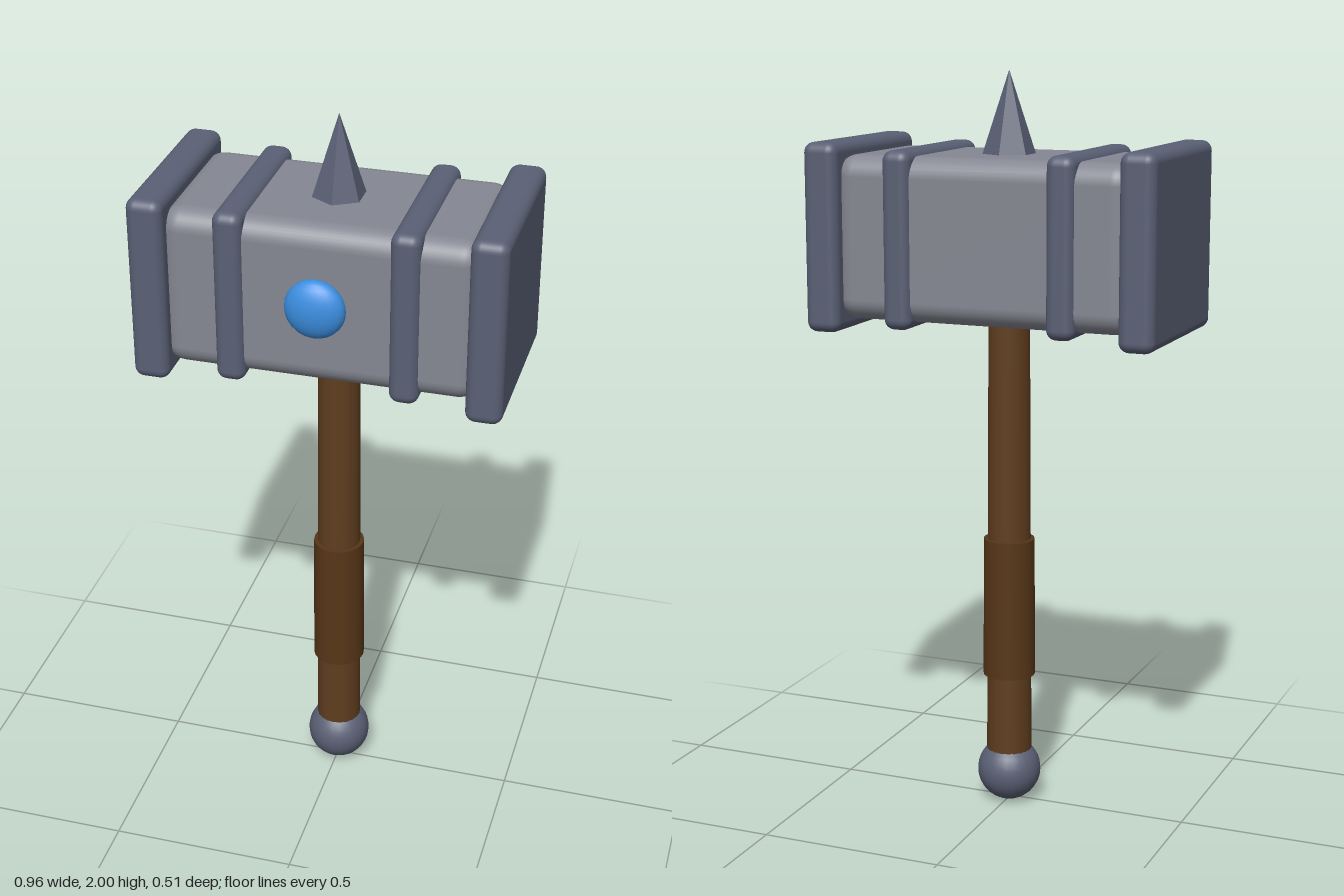
import * as THREE from 'three';
import { RoundedBoxGeometry } from 'three/addons/geometries/RoundedBoxGeometry.js';

const material = (name, color, flatShading = false) => {
  const m = new THREE.MeshStandardMaterial({ color, flatShading });
  m.name = name;
  return m;
};

export function createModel() {
  const stone = material('greyStone', 0x858892);
  const steel = material('darkSteel', 0x5a6075);
  const wood = material('brownWood', 0x5f3d1f);
  const leather = material('brownLeather', 0x573618);
  const blue = material('blueGem', 0x3b8ee0);

  const group = new THREE.Group();
  group.name = 'warHammer';
  const axisZ = -0.01;
  const headY = 1.57;

  const add = (name, geometry, mat, x, y, z = axisZ) => {
    const mesh = new THREE.Mesh(geometry, mat);
    mesh.name = name;
    mesh.position.set(x, y, z);
    group.add(mesh);
    return mesh;
  };

  // Hammer head with rounded edges
  add('headBlock', new RoundedBoxGeometry(0.82, 0.43, 0.43, 4, 0.055), stone, 0, headY);

  // Mirrored striking plates and straps around the head
  for (const [side, s] of [['left', 1], ['right', -1]]) {
    add(side + 'StrikingPlate', new RoundedBoxGeometry(0.095, 0.495, 0.495, 4, 0.027), steel, s * 0.4325, headY);
    add(side + 'Strap', new RoundedBoxGeometry(0.077, 0.463, 0.463, 4, 0.027), steel, s * 0.225, headY);
  }

  // Six-sided spike on top
  const spikeSteel = steel.clone();
  spikeSteel.flatShading = true;
  spikeSteel.name = 'facetedSteel';
  add('topSpike', new THREE.ConeGeometry(0.075, 0.23, 6), spikeSteel, 0, 1.885);

  // Domed gem set into the front face
  add('frontGem', new THREE.SphereGeometry(0.079, 20, 14), blue, 0, 1.575, 0.212).scale.z = 0.52;

  // Tapered shaft, grip wrap and pommel
  add('shaft', new THREE.CylinderGeometry(0.055, 0.062, 1.3, 20), wood, 0, 0.75);
  add('gripWrap', new THREE.CylinderGeometry(0.069, 0.071, 0.385, 20), leather, 0, 0.5575);
  add('pommel', new THREE.SphereGeometry(0.087, 24, 16), steel, 0, 0.087);

  return group;
}
